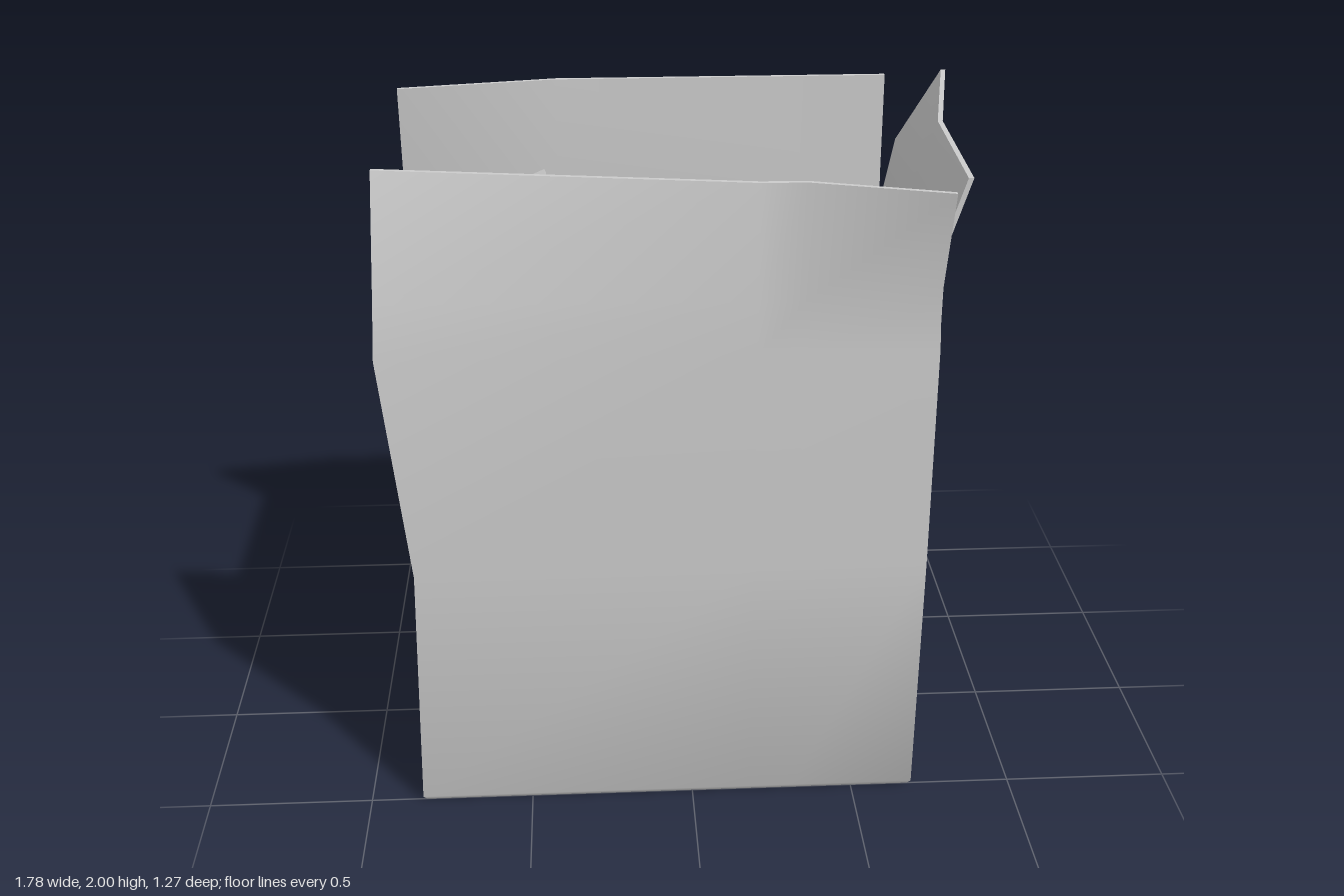
import * as THREE from 'three';
import { toCreasedNormals } from 'three/addons/utils/BufferGeometryUtils.js';

const T = 0.015; // cardboard thickness
const material = new THREE.MeshStandardMaterial({ color: 0xcccccc, side: THREE.DoubleSide });

// Thick sheet from rows of [x, y, z] (left to right seen from outside, bottom to top),
// given its thickness by shifting a copy along `inward`.
function panel(name, rows, inward) {
  const outer = rows.map(r => r.map(p => new THREE.Vector3(...p)));
  const shift = new THREE.Vector3(...inward);
  const inner = outer.map(r => r.map(p => p.clone().add(shift)));
  const pos = [];
  const quad = (a, b, c, d) => [a, b, c, a, c, d].forEach(p => pos.push(p.x, p.y, p.z));
  const m = rows.length - 1, n = rows[0].length - 1;
  for (let i = 0; i < m; i++) {
    for (let j = 0; j < n; j++) {
      quad(outer[i][j], outer[i][j + 1], outer[i + 1][j + 1], outer[i + 1][j]);
      quad(inner[i][j], inner[i + 1][j], inner[i + 1][j + 1], inner[i][j + 1]);
    }
    // side rims
    quad(outer[i][0], outer[i + 1][0], inner[i + 1][0], inner[i][0]);
    quad(outer[i][n], inner[i][n], inner[i + 1][n], outer[i + 1][n]);
  }
  for (let j = 0; j < n; j++) {
    // bottom and top rims
    quad(outer[0][j], inner[0][j], inner[0][j + 1], outer[0][j + 1]);
    quad(outer[m][j], outer[m][j + 1], inner[m][j + 1], inner[m][j]);
  }
  const geometry = new THREE.BufferGeometry();
  geometry.setAttribute('position', new THREE.Float32BufferAttribute(pos, 3));
  const mesh = new THREE.Mesh(toCreasedNormals(geometry, 0.7), material);
  mesh.name = name;
  return mesh;
}

export function createModel() {
  const box = new THREE.Group();
  box.name = 'openCardboardBox';

  // Front wall and flap: the flap leans in at one end and curls out at the other.
  // Each row: y, x of the dented corner, x of the straight corner, z at four columns
  const front = [
    [0, -0.83, 0.68, 0.5, 0.5, 0.5, 0.5],
    [T, -0.84, 0.69, 0.51, 0.51, 0.51, 0.51],
    [0.8, -0.82, 0.695, 0.515, 0.515, 0.515, 0.515],
    [1.49, -0.89, 0.695, 0.515, 0.515, 0.515, 0.515],
    [1.64, -0.885, 0.69, 0.475, 0.51, 0.51, 0.51],
    [1.985, -0.88, 0.69, 0.34, 0.512, 0.515, 0.635],
  ].map(([y, x0, x1, ...z]) => [x0, 0.18, 0.31, x1].map((x, j) => [x, y, z[j]]));
  box.add(panel('frontWallAndFlap', front, [0, 0, -T]));

  // Back wall and flap: one upper corner leans in
  const back = [
    [0, 0.68, -0.875, -0.62, -0.62],
    [T, 0.69, -0.885, -0.63, -0.63],
    [0.8, 0.695, -0.885, -0.635, -0.635],
    [1.49, 0.695, -0.89, -0.635, -0.635],
    [1.64, 0.69, -0.885, -0.635, -0.617],
    [1.985, 0.69, -0.88, -0.635, -0.54],
  ].map(([y, x0, x1, z, zEnd]) => [[x0, y, z], [-0.38, y, z], [x1, y, zEnd]]);
  box.add(panel('backWallAndFlap', back, [0, 0, T]));

  // Left wall and flap: the flap curls outward, most at the back.
  // Each row: x then y at the front, middle and back columns
  const left = [
    [[0.68, 0.68, 0.68], [0, 0, 0]],
    [[0.69, 0.69, 0.69], [T, T, T]],
    [[0.695, 0.695, 0.695], [0.8, 0.8, 0.8]],
    [[0.695, 0.695, 0.695], [1.49, 1.49, 1.49]],
    [[0.695, 0.71, 0.75], [1.78, 1.76, 1.77]],
    [[0.76, 0.785, 0.888], [1.985, 1.975, 2]],
  ].map(([x, y]) => [0.5, -0.1, -0.62].map((z, j) => [x[j], y[j], z]));
  box.add(panel('leftWallAndFlap', left, [-T, 0, 0]));

  // Right wall, dented towards the front corner
  const right = [
    [0, -0.875, -0.87, -0.83],
    [T, -0.885, -0.88, -0.84],
    [0.8, -0.885, -0.85, -0.82],
    [1.49, -0.89, -0.89, -0.89],
  ].map(([y, ...x]) => [-0.62, -0.06, 0.5].map((z, j) => [x[j], y, z]));
  box.add(panel('rightWall', right, [T, 0, 0]));

  // Right flap, folded inward over the opening
  const flap = [
    [[-0.89, 1.49, -0.615], [-0.89, 1.49, 0.5]],
    [[-0.425, 1.69, -0.61], [-0.425, 1.69, 0.46]],
  ];
  box.add(panel('rightFlap', flap, [0.006, -0.014, 0]));

  // Floor
  const outline = [[-0.875, -0.62], [0.68, -0.62], [0.68, 0.5], [-0.83, 0.5], [-0.87, -0.06]];
  const shape = new THREE.Shape(outline.map(p => new THREE.Vector2(...p)));
  const floorGeometry = new THREE.ExtrudeGeometry(shape, { depth: T, bevelEnabled: false });
  floorGeometry.rotateX(Math.PI / 2).translate(0, T, 0);
  const floor = new THREE.Mesh(floorGeometry, material);
  floor.name = 'floor';
  box.add(floor);

  return box;
}
